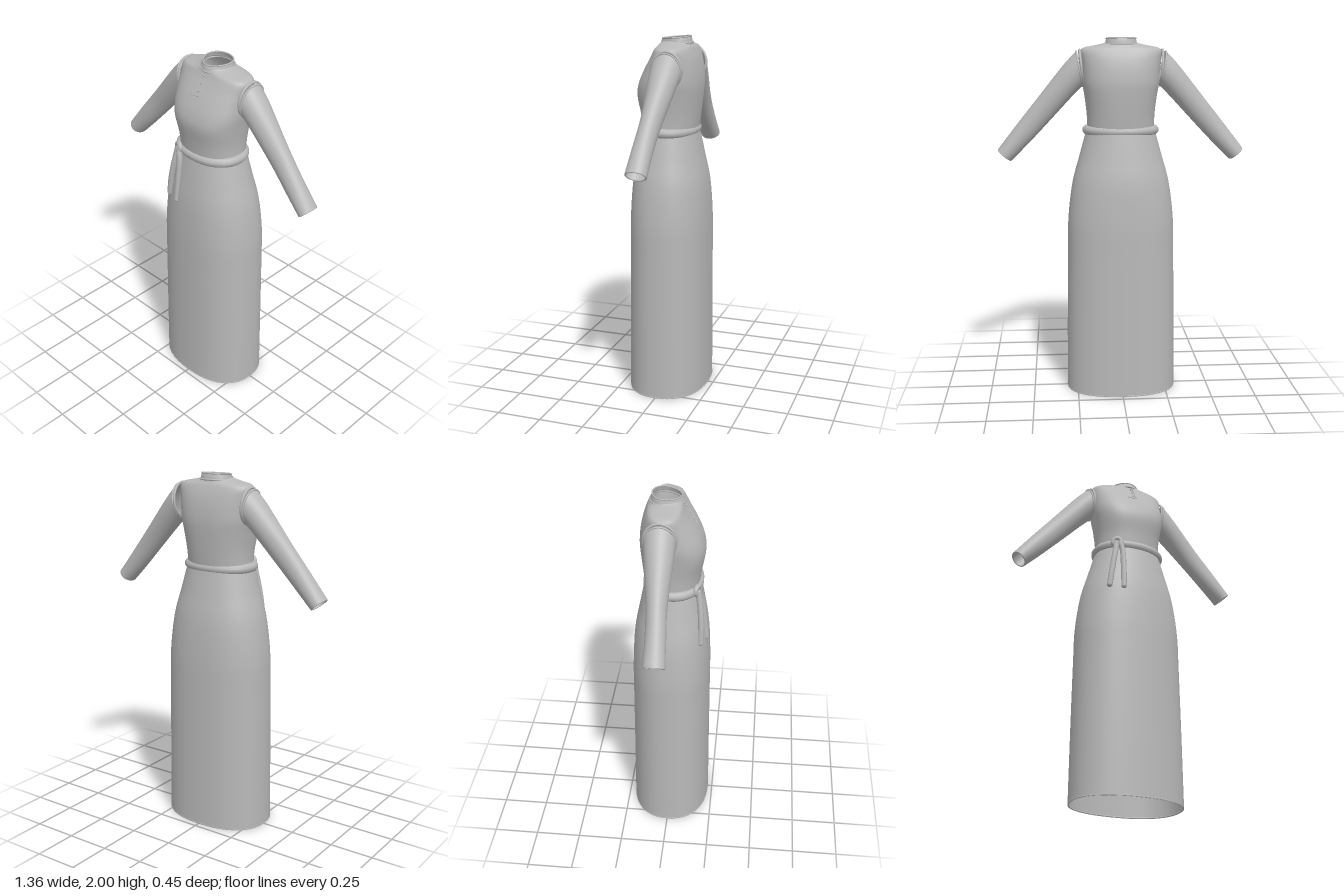
import * as THREE from 'three';

const cloth = new THREE.MeshStandardMaterial({ color: 0xb8b8b8, side: THREE.DoubleSide });
cloth.name = 'grey cloth';

// Smoothly interpolate rows of numbers (Catmull-Rom on every column)
function smoothRows(keys, steps) {
  const rows = [];
  for (let k = 0; k < keys.length - 1; k++) {
    const p0 = keys[Math.max(k - 1, 0)], p1 = keys[k], p2 = keys[k + 1];
    const p3 = keys[Math.min(k + 2, keys.length - 1)];
    for (let s = 0; s < steps; s++) {
      const t = s / steps;
      rows.push(p1.map((b, c) => {
        const a = p0[c], d = p2[c], e = p3[c];
        return 0.5 * (2 * b + (d - a) * t + (2 * a - 5 * b + 4 * d - e) * t * t
          + (3 * b - a - 3 * d + e) * t * t * t);
      }));
    }
  }
  rows.push(keys[keys.length - 1]);
  return rows;
}

// Skin closed rings, pointAt(row, angle) gives [x, y, z]
function loft(name, rows, pointAt, sides = 48) {
  const pos = [], index = [];
  rows.forEach((row, j) => {
    for (let i = 0; i < sides; i++) {
      pos.push(...pointAt(row, (i / sides) * Math.PI * 2));
      if (j === rows.length - 1) continue;
      const a = j * sides + i, b = j * sides + ((i + 1) % sides);
      index.push(a, b, b + sides, a, b + sides, a + sides);
    }
  });
  const geo = new THREE.BufferGeometry();
  geo.setAttribute('position', new THREE.Float32BufferAttribute(pos, 3));
  geo.setIndex(index);
  geo.computeVertexNormals();
  return named(name, geo);
}

function named(name, geo) {
  const mesh = new THREE.Mesh(geo, cloth);
  mesh.name = name;
  return mesh;
}

// Horizontal rounded section: [y, half width, front z, back z, squareness]
function section([y, w, zf, zb, n], angle) {
  const s = Math.sin(angle), c = Math.cos(angle), mid = (zf + zb) / 2;
  const bend = (v) => Math.sign(v) * Math.pow(Math.abs(v), 2 / n);
  return [w * bend(s), y, mid + ((zf - zb) / 2) * bend(c)];
}

function tube(name, points, radius, closed = false, segments = 64) {
  const path = new THREE.CatmullRomCurve3(points.map((p) => new THREE.Vector3(...p)), closed);
  return named(name, new THREE.TubeGeometry(path, segments, radius, 10, closed));
}

function ring(name, row, radius, pointAt = section) {
  const points = [];
  for (let i = 0; i < 32; i++) points.push(pointAt(row, (i / 32) * Math.PI * 2));
  return tube(name, points, radius, true, 96);
}

// Sleeve section: [top x, top y, bottom x, bottom y, middle z, half depth]
function sleeveSection([tx, ty, bx, by, z, r], angle) {
  const c = Math.cos(angle) / 2;
  return [(tx + bx) / 2 + (tx - bx) * c, (ty + by) / 2 + (ty - by) * c, z + r * Math.sin(angle)];
}

// Egg-shaped collar section, lower and narrower at the front: [y, half width, front z, back z, dip]
function collarSection([y, w, zf, zb, dip], angle) {
  const c = Math.cos(angle);
  return [w * Math.sin(angle) * (1 - 0.18 * c), y - dip * (1 + c) / 2, (zf + zb) / 2 + ((zf - zb) / 2) * c];
}

function makeSleeve() {
  const arm = new THREE.Group();
  const keys = [
    [0.245, 1.922, 0.213, 1.735, -0.04, 0.083],
    [0.318, 1.845, 0.272, 1.676, -0.038, 0.075],
    [0.468, 1.658, 0.41, 1.528, -0.033, 0.055],
    [0.58, 1.518, 0.515, 1.418, -0.028, 0.054],
    [0.68, 1.39, 0.607, 1.327, -0.027, 0.058],
  ];
  arm.add(loft('sleeve', smoothRows(keys, 5), sleeveSection, 32));
  arm.add(ring('sleeveSeam', keys[0], 0.005, sleeveSection));
  arm.add(ring('cuffEdge', [0.676, 1.388, 0.609, 1.331, -0.027, 0.054], 0.004, sleeveSection));
  arm.add(ring('armholeEdge', [0.226, 1.93, 0.21, 1.742, -0.04, 0.083], 0.007, sleeveSection));
  return arm;
}

export function createModel() {
  const dress = new THREE.Group();
  dress.name = 'dress';

  // Long open skirt
  const skirt = [
    [0, 0.31, 0.225, -0.22, 2.3],
    [0.4, 0.306, 0.221, -0.217, 2.3],
    [0.8, 0.3, 0.218, -0.215, 2.3],
    [1.0, 0.295, 0.216, -0.213, 2.3],
    [1.2, 0.27, 0.206, -0.2, 2.25],
    [1.35, 0.23, 0.184, -0.172, 2.2],
    [1.49, 0.191, 0.158, -0.144, 2.2],
  ];
  dress.add(loft('skirt', smoothRows(skirt, 5), section));
  dress.add(ring('hem', [0.004, 0.307, 0.222, -0.217, 2.3], 0.004));

  // Fitted bodice with bust, shoulders and neck opening
  const bodice = [
    [1.49, 0.186, 0.155, -0.142, 2.2],
    [1.58, 0.188, 0.165, -0.152, 2.3],
    [1.68, 0.2, 0.181, -0.161, 2.5],
    [1.75, 0.211, 0.168, -0.164, 2.6],
    [1.82, 0.214, 0.136, -0.158, 2.6],
    [1.88, 0.218, 0.1, -0.145, 2.6],
    [1.92, 0.222, 0.076, -0.13, 2.6],
    [1.941, 0.206, 0.066, -0.12, 2.5],
    [1.952, 0.155, 0.062, -0.112, 2.3],
    [1.964, 0.1, 0.06, -0.108, 2],
    [1.972, 0.084, 0.058, -0.106, 2],
  ];
  dress.add(loft('bodice', smoothRows(bodice, 4), section));

  // Standing collar with rolled edges
  const collar = [[1.96, 0.088, 0.066, -0.11, 0.012], [1.98, 0.083, 0.062, -0.106, 0.012], [1.997, 0.079, 0.054, -0.1, 0.012]];
  dress.add(loft('collar', smoothRows(collar, 3), collarSection));
  dress.add(ring('collarEdge', [1.996, 0.079, 0.054, -0.1, 0.012], 0.004, collarSection));
  dress.add(ring('collarSeam', [1.964, 0.088, 0.066, -0.11, 0.012], 0.005, collarSection));

  // Neck placket with small buttons
  dress.add(tube('placketEdge', [[0.012, 1.95, 0.064], [0.014, 1.9, 0.088], [0.014, 1.84, 0.125]], 0.004, false, 16));
  dress.add(tube('placketEnd', [[-0.04, 1.836, 0.126], [-0.01, 1.836, 0.127], [0.014, 1.84, 0.125]], 0.003, false, 12));
  for (const [y, z] of [[1.93, 0.073], [1.895, 0.092], [1.86, 0.113]]) {
    const button = named('button', new THREE.SphereGeometry(0.006, 10, 8));
    button.position.set(0, y, z);
    dress.add(button);
  }

  // Sleeves, the right one mirrored
  for (const side of [1, -1]) {
    const arm = makeSleeve();
    arm.name = side > 0 ? 'leftSleeve' : 'rightSleeve';
    arm.scale.x = side;
    dress.add(arm);
  }

  // Cord belt, its knot and two hanging ends
  dress.add(ring('cordBelt', [1.492, 0.187, 0.148, -0.126, 2.2], 0.026));
  const knot = named('beltKnot', new THREE.TorusGeometry(0.023, 0.014, 10, 24));
  knot.position.set(-0.118, 1.498, 0.147);
  knot.rotation.y = -0.45;
  dress.add(knot);
  const ends = [
    [[-0.122, 1.495, 0.152], [-0.14, 1.4, 0.165], [-0.158, 1.3, 0.172], [-0.172, 1.2, 0.172]],
    [[-0.108, 1.495, 0.158], [-0.094, 1.45, 0.166], [-0.092, 1.32, 0.183], [-0.096, 1.195, 0.196]],
  ];
  for (const points of ends) {
    dress.add(tube('cordEnd', points, 0.016, false, 24));
    const tip = named('cordTip', new THREE.SphereGeometry(0.016, 12, 8));
    tip.position.set(...points[3]);
    dress.add(tip);
  }
  return dress;
}
